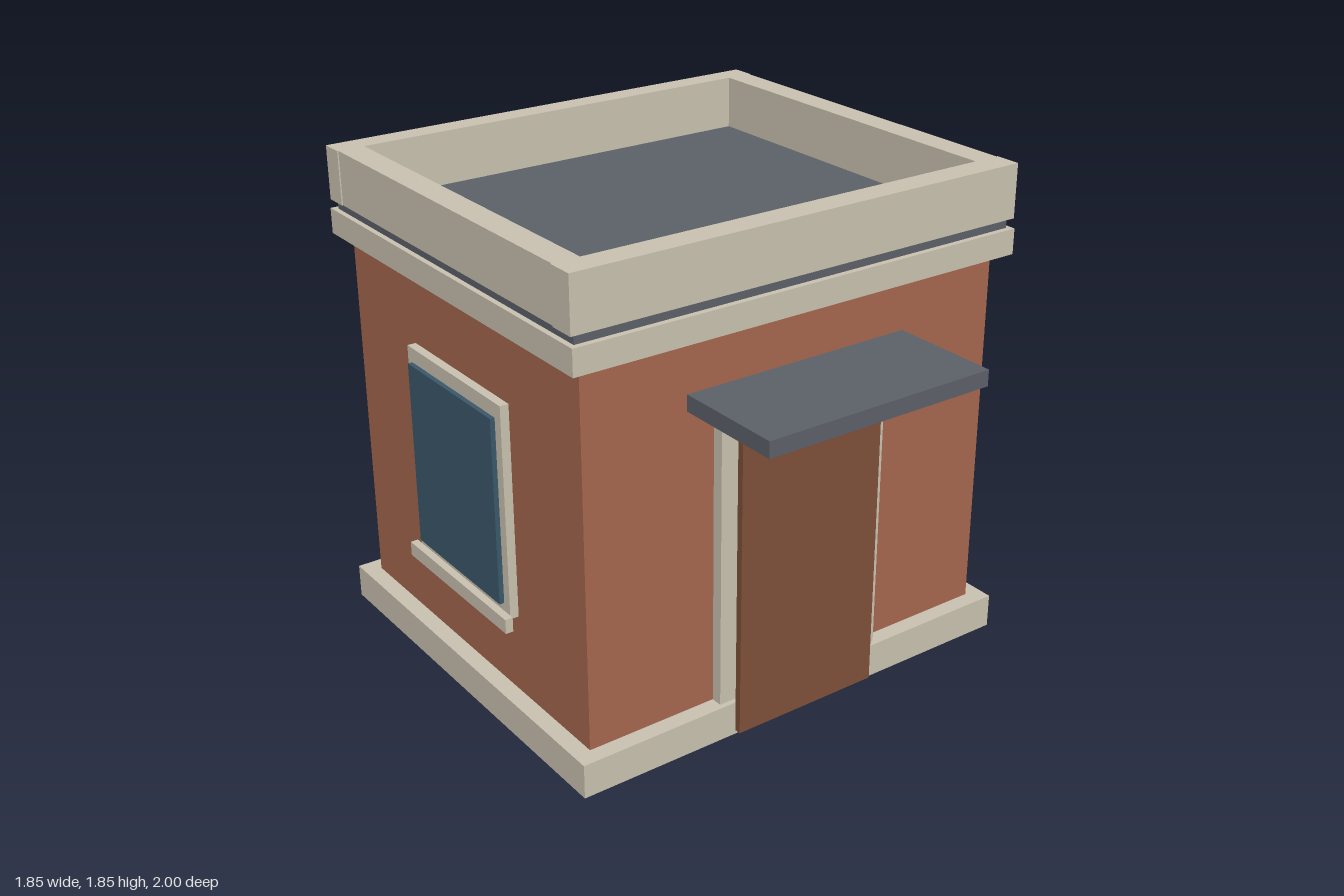
import * as THREE from 'three';

const mat = (name, color) => {
  const m = new THREE.MeshStandardMaterial({ color });
  m.name = name;
  return m;
};

export function createModel() {
  const brick = mat('brick', 0xa5674f);
  const stone = mat('stone', 0xc9c2b0);
  const slate = mat('slate', 0x5c6068);
  const wood = mat('wood', 0x7d5038);
  const glass = mat('glass', 0x3b586a);

  const model = new THREE.Group();
  model.name = 'smallBuilding';

  // Box given by its extents on each axis
  const box = (parent, name, material, [x0, x1], [y0, y1], [z0, z1]) => {
    const mesh = new THREE.Mesh(new THREE.BoxGeometry(x1 - x0, y1 - y0, z1 - z0), material);
    mesh.position.set((x0 + x1) / 2, (y0 + y1) / 2, (z0 + z1) / 2);
    mesh.name = name;
    parent.add(mesh);
  };
  const sym = (h) => [-h, h];

  // Body: plinth, walls, cornice and roof slab
  box(model, 'plinth', stone, sym(0.925), [0, 0.13], [-0.995, 0.64]);
  box(model, 'walls', brick, sym(0.86), [0.13, 1.52], [-0.93, 0.577]);
  box(model, 'cornice', stone, sym(0.915), [1.52, 1.615], [-0.983, 0.632]);
  box(model, 'roofSlab', slate, sym(0.895), [1.615, 1.65], [-0.96, 0.61]);

  // Parapet: front and back bars, with slightly inset side bars between
  box(model, 'parapetFront', stone, sym(0.915), [1.65, 1.85], [0.525, 0.625]);
  box(model, 'parapetBack', stone, sym(0.915), [1.65, 1.85], [-0.975, -0.885]);
  box(model, 'parapetLeft', stone, [0.81, 0.91], [1.65, 1.85], [-0.885, 0.525]);
  box(model, 'parapetRight', stone, [-0.91, -0.81], [1.65, 1.85], [-0.885, 0.525]);

  // Entrance: surround, door and canopy
  box(model, 'doorFrame', stone, sym(0.35), [0.13, 1.21], [0.577, 0.62]);
  box(model, 'door', wood, sym(0.298), [0.015, 1.155], [0.64, 0.665]);
  box(model, 'canopy', slate, sym(0.457), [1.265, 1.325], [0.577, 1]);

  // Windows: built facing +z, with the wall at local z = 0
  const addWindow = (name, x, z, turn) => {
    const g = new THREE.Group();
    g.name = name;
    box(g, 'windowFrame', stone, sym(0.317), [0.435, 1.24], [0, 0.033]);
    box(g, 'windowPane', glass, sym(0.283), [0.485, 1.187], [0.035, 0.053]);
    box(g, 'windowSill', stone, sym(0.34), [0.4, 0.455], [0.037, 0.066]);
    g.position.set(x, 0, z);
    g.rotation.y = turn;
    model.add(g);
  };
  addWindow('leftWindow', 0.86, -0.175, Math.PI / 2);
  addWindow('rightWindow', -0.86, -0.175, -Math.PI / 2);
  addWindow('backWindow', 0, -0.93, Math.PI);

  return model;
}
